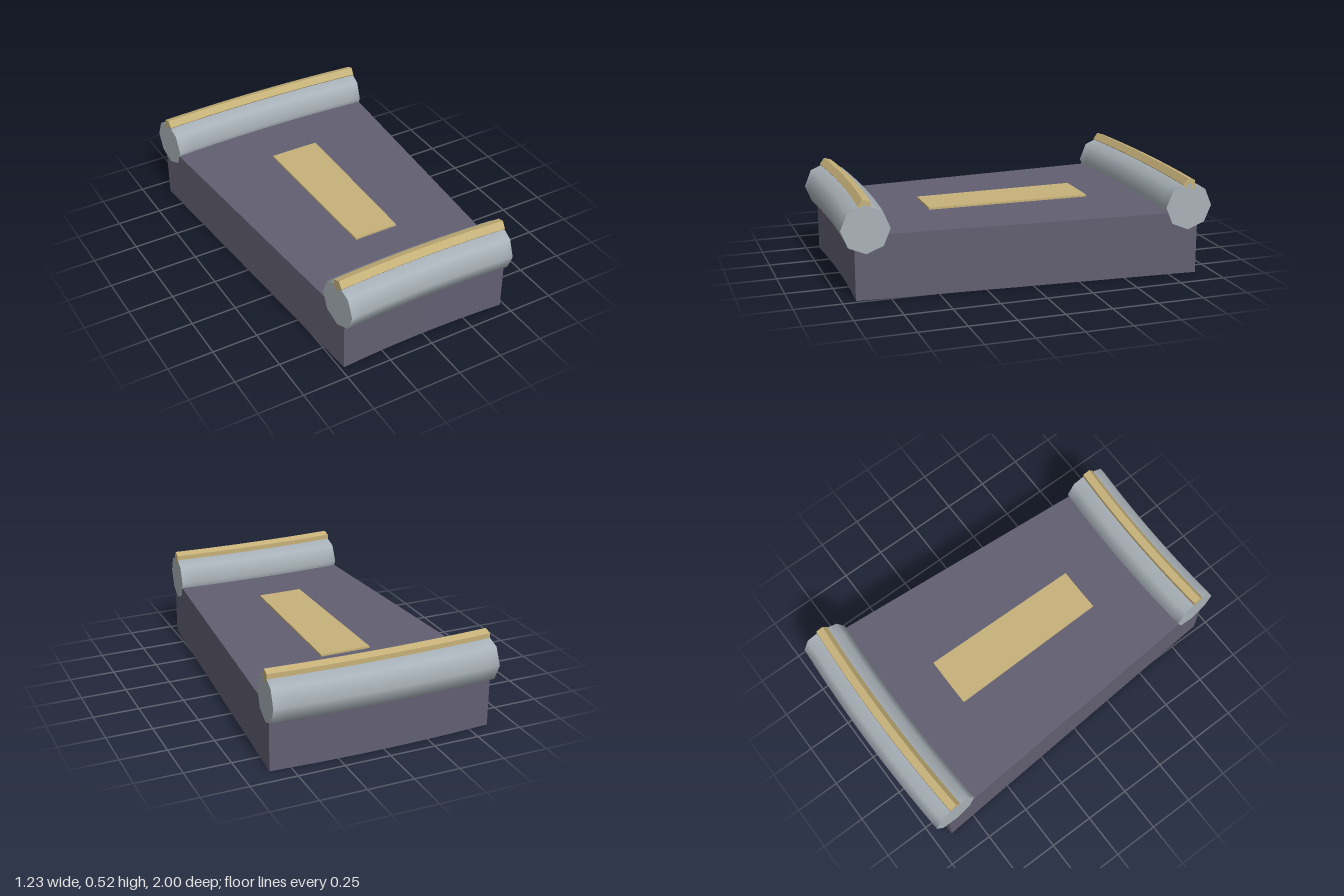
import * as THREE from 'three';
import { toCreasedNormals } from 'three/addons/utils/BufferGeometryUtils.js';

const ZC = 7.64;          // z of the vertical axis the whole piece curves around
const HALF = 0.0714;      // half of the swept angle

const material = (name, color) => {
  const m = new THREE.MeshStandardMaterial({ color });
  m.name = name;
  return m;
};

// Sweep a (radius, height) cross-section along an arc around the axis.
function arcSweep(points, half, crease) {
  const shape = new THREE.Shape(points.map(([r, y]) => new THREE.Vector2(r, y)));
  const geo = new THREE.ExtrudeGeometry(shape, { depth: 2, steps: 16, bevelEnabled: false });
  const p = geo.attributes.position;
  for (let i = 0; i < p.count; i++) {
    const r = p.getX(i), a = (p.getZ(i) - 1) * half;
    p.setXYZ(i, r * Math.sin(a), p.getY(i), ZC - r * Math.cos(a));
  }
  return toCreasedNormals(geo, crease);
}

// Cross-section helpers; z is the position on the centre line.
const box = (zBack, zFront, y0, y1) =>
  [[ZC - zFront, y0], [ZC - zBack, y0], [ZC - zBack, y1], [ZC - zFront, y1]];

const polygon = (z, y, radius, sides) =>
  Array.from({ length: sides }, (_, i) => {
    const a = Math.PI - (i * 2 * Math.PI) / sides;
    return [ZC - z + radius * Math.cos(a), y + radius * Math.sin(a)];
  });

export function createModel() {
  const group = new THREE.Group();
  group.name = 'curvedSegment';
  const slate = material('slate', 0x625f72);
  const steel = material('steel', 0xa9b2b9);
  const gold = material('gold', 0xc6b179);

  const add = (name, points, half, crease, mat) => {
    const mesh = new THREE.Mesh(arcSweep(points, half, crease), mat);
    mesh.name = name;
    group.add(mesh);
  };

  // Wedge-shaped slab and the inlay on its top
  add('slab', box(-0.925, 0.912, 0, 0.34), HALF, 0.5, slate);
  add('inlay', box(-0.46, 0.44, 0.335, 0.351), 0.0172, 0.5, gold);

  // Rounded rails along both curved edges, each with a trim strip on top
  for (const [side, z] of [['back', -0.874], ['front', 0.853]]) {
    add(side + 'Rail', polygon(z, 0.37, 0.127, 8), HALF + 0.0001, 0.9, steel);
    add(side + 'Trim', polygon(z, 0.49, 0.036, 5), HALF + 0.0001, 0.5, gold);
  }
  return group;
}
